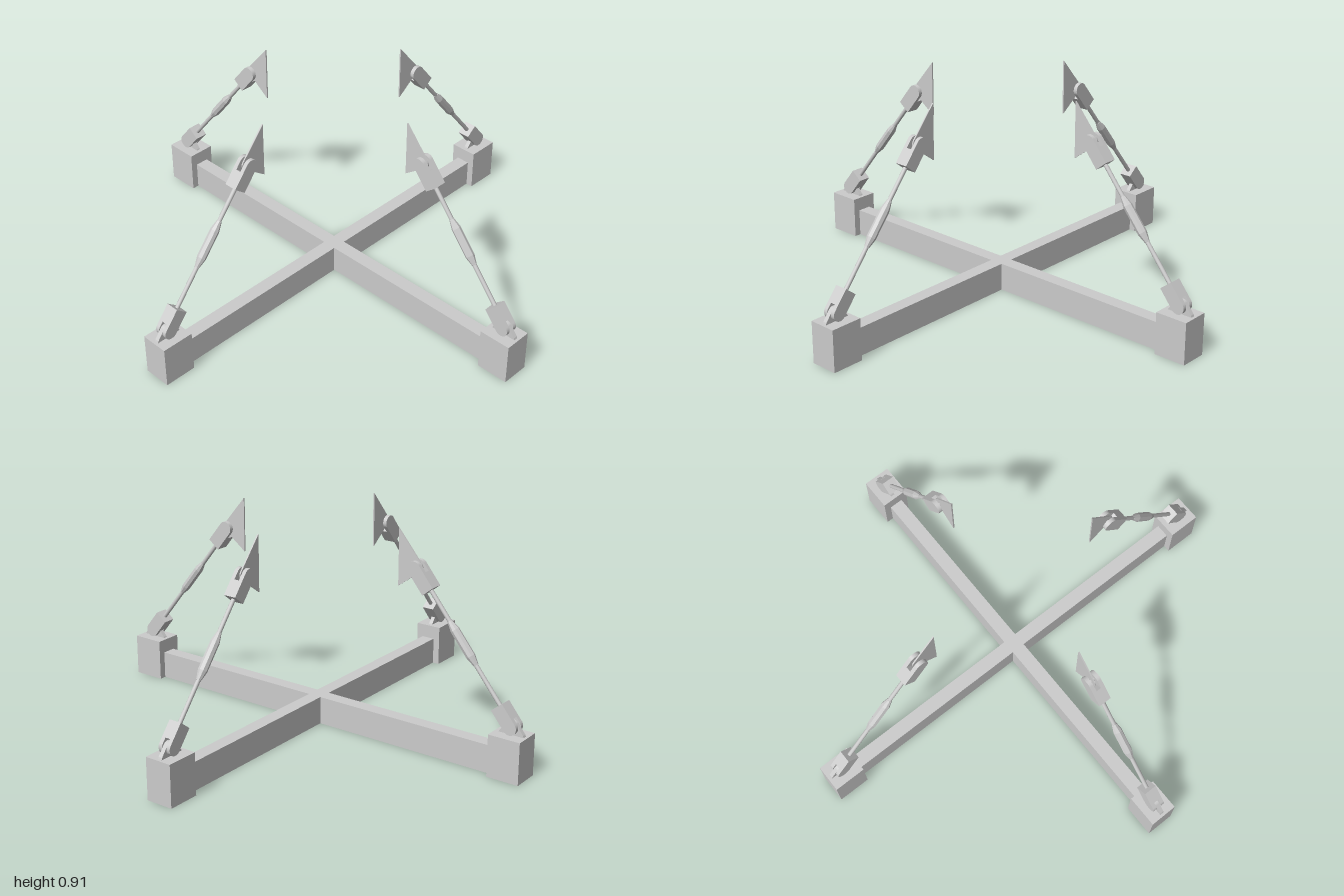
import * as THREE from 'three';

const grey = new THREE.MeshStandardMaterial({ color: 0xcccccc });
const faceted = new THREE.MeshStandardMaterial({ color: 0xcccccc, flatShading: true });

function part(parent, name, geometry, x = 0, y = 0, z = 0, material = grey) {
  const mesh = new THREE.Mesh(geometry, material);
  mesh.name = name;
  mesh.position.set(x, y, z);
  parent.add(mesh);
  return mesh;
}

// flat profile extruded symmetrically about z = 0
function slab(shape, depth) {
  return new THREE.ExtrudeGeometry(shape, { depth, bevelEnabled: false, curveSegments: 12 })
    .translate(0, 0, -depth / 2);
}

// clevis: solid base at y = 0, two round-ended prongs towards +y
function makeFork(name, reach) {
  const fork = new THREE.Group();
  fork.name = name;
  const r = 0.03, width = 0.056, slot = 0.022, solid = 0.07;
  part(fork, 'forkBase', new THREE.BoxGeometry(2 * r, solid, width), 0, solid / 2);
  const prong = new THREE.Shape();
  prong.moveTo(-r, solid);
  prong.lineTo(r, solid);
  prong.lineTo(r, reach);
  prong.absarc(0, reach, r, 0, Math.PI, false);
  const thick = (width - slot) / 2;
  for (const s of [-1, 1]) {
    part(fork, 'forkProng', slab(prong, thick), 0, 0, s * (slot + thick) / 2);
  }
  part(fork, 'forkPin', new THREE.CylinderGeometry(0.008, 0.008, width, 12).rotateX(Math.PI / 2), 0, reach);
  return fork;
}

// one arm of the cross, pointing along +x
function makeArm() {
  const arm = new THREE.Group();
  arm.name = 'arm';
  part(arm, 'endBlock', new THREE.BoxGeometry(0.14, 0.18, 0.12), 0.93, 0.09);

  // lug standing on the block
  const lug = new THREE.Shape();
  lug.moveTo(0.875, 0.175);
  lug.lineTo(0.99, 0.175);
  lug.lineTo(0.985, 0.188);
  lug.lineTo(0.953, 0.23);
  lug.absarc(0.934, 0.213, 0.025, 0.7, Math.PI - 0.5, false);
  lug.lineTo(0.88, 0.185);
  part(arm, 'blockLug', slab(lug, 0.018));

  // tilted tie rod with a fork at each end
  const length = 0.519;
  const tie = new THREE.Group();
  tie.name = 'tieRod';
  tie.position.set(0.874, 0.286, 0);
  tie.rotation.z = 0.6817;
  arm.add(tie);
  part(tie, 'rod', new THREE.CylinderGeometry(0.009, 0.009, length, 12), 0, length / 2);
  const sleeve = [[0, -0.1], [0.01, -0.1], [0.019, -0.06], [0.019, 0.06], [0.01, 0.1], [0, 0.1]]
    .map(([x, y]) => new THREE.Vector2(x, y));
  part(tie, 'turnbuckle', new THREE.LatheGeometry(sleeve, 8), 0, 0.279, 0, faceted);
  const lower = makeFork('lowerFork', 0.094);
  lower.rotation.z = Math.PI;
  tie.add(lower);
  const upper = makeFork('upperFork', 0.105);
  upper.position.y = length;
  tie.add(upper);

  // thin gripping plate with a round tab held in the upper fork
  const plate = new THREE.Shape();
  plate.moveTo(0.394, 0.679);
  plate.lineTo(0.394, 0.914);
  plate.lineTo(0.495, 0.795);
  plate.absarc(0.478, 0.772, 0.028, 0.9, -1.6, true);
  plate.lineTo(0.47, 0.735);
  part(arm, 'gripPlate', slab(plate, 0.006));
  return arm;
}

export function createModel() {
  const model = new THREE.Group();
  model.name = 'crossStand';
  part(model, 'crossBeam', new THREE.BoxGeometry(1.74, 0.12, 0.06), 0, 0.06);
  for (const s of [-1, 1]) {
    part(model, 'sideBeam', new THREE.BoxGeometry(0.06, 0.12, 0.84), 0, 0.06, s * 0.45);
  }
  for (let i = 0; i < 4; i++) {
    const arm = makeArm();
    arm.rotation.y = i * Math.PI / 2;
    model.add(arm);
  }
  return model;
}
